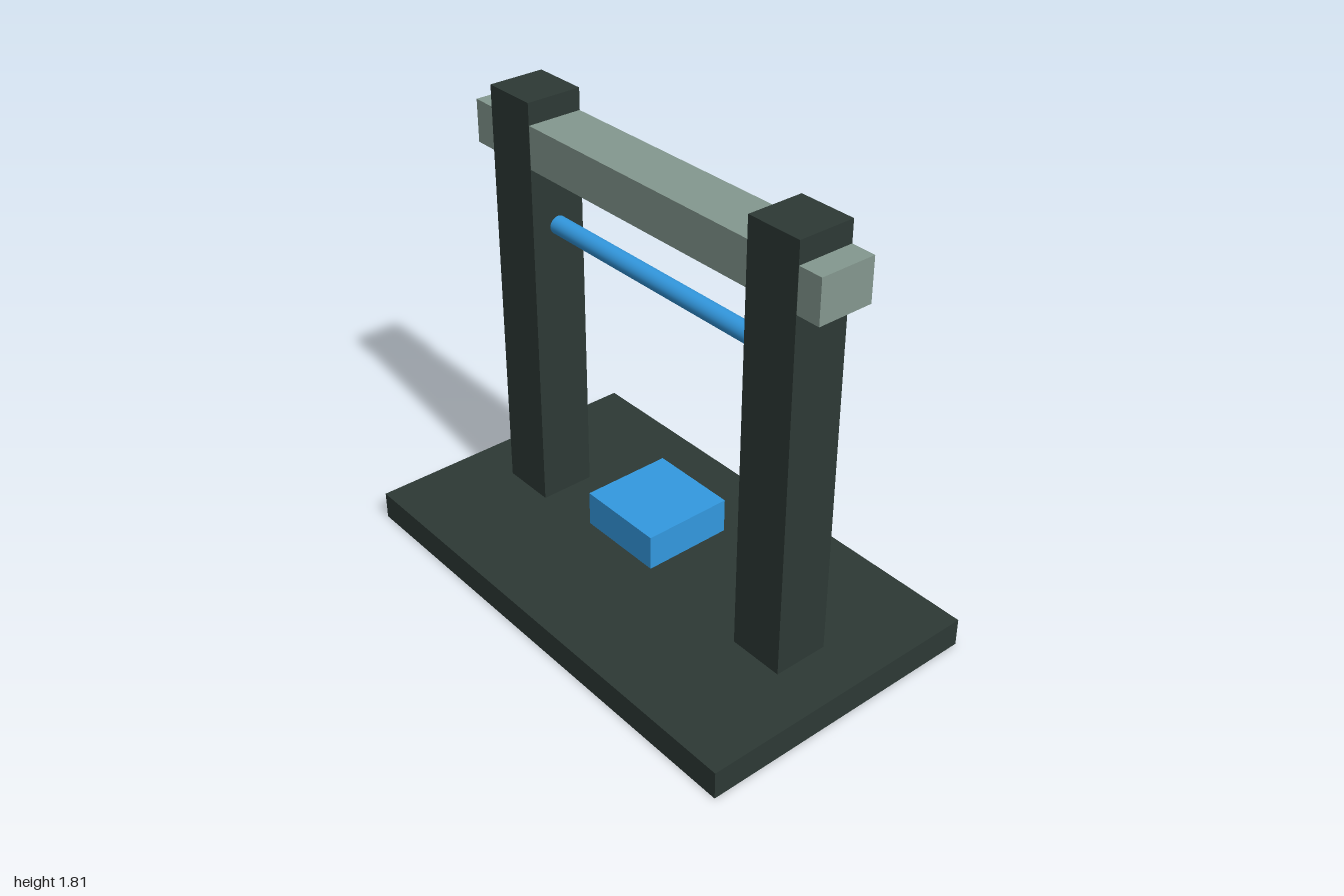
import * as THREE from 'three';

const dark = new THREE.MeshStandardMaterial({ color: 0x2d3935 });
const sage = new THREE.MeshStandardMaterial({ color: 0x84988f });
const blue = new THREE.MeshStandardMaterial({ color: 0x3399e0 });

// Box given by its size, its centre in x and the height of its underside
function box(name, material, w, h, d, x, bottom) {
  const mesh = new THREE.Mesh(new THREE.BoxGeometry(w, h, d), material);
  mesh.name = name;
  mesh.position.set(x, bottom + h / 2, 0);
  return mesh;
}

export function createModel() {
  const model = new THREE.Group();
  model.name = 'gantryFrame';

  // Base plate
  model.add(box('base', dark, 2, 0.113, 1.18, 0, 0));

  // Upright posts
  for (const [name, side] of [['leftPost', 1], ['rightPost', -1]]) {
    model.add(box(name, dark, 0.225, 1.692, 0.225, side * 0.676, 0.113));
  }

  // Top beam, passing through both posts
  model.add(box('topBeam', sage, 1.77, 0.168, 0.223, 0, 1.552));

  // Round crossbar between the posts
  const bar = new THREE.Mesh(new THREE.CylinderGeometry(0.036, 0.036, 1.128, 32), blue);
  bar.name = 'crossbar';
  bar.rotation.z = Math.PI / 2;
  bar.position.y = 1.3;
  model.add(bar);

  // Block hovering above the base
  model.add(box('block', blue, 0.36, 0.14, 0.36, 0, 0.242));

  return model;
}
